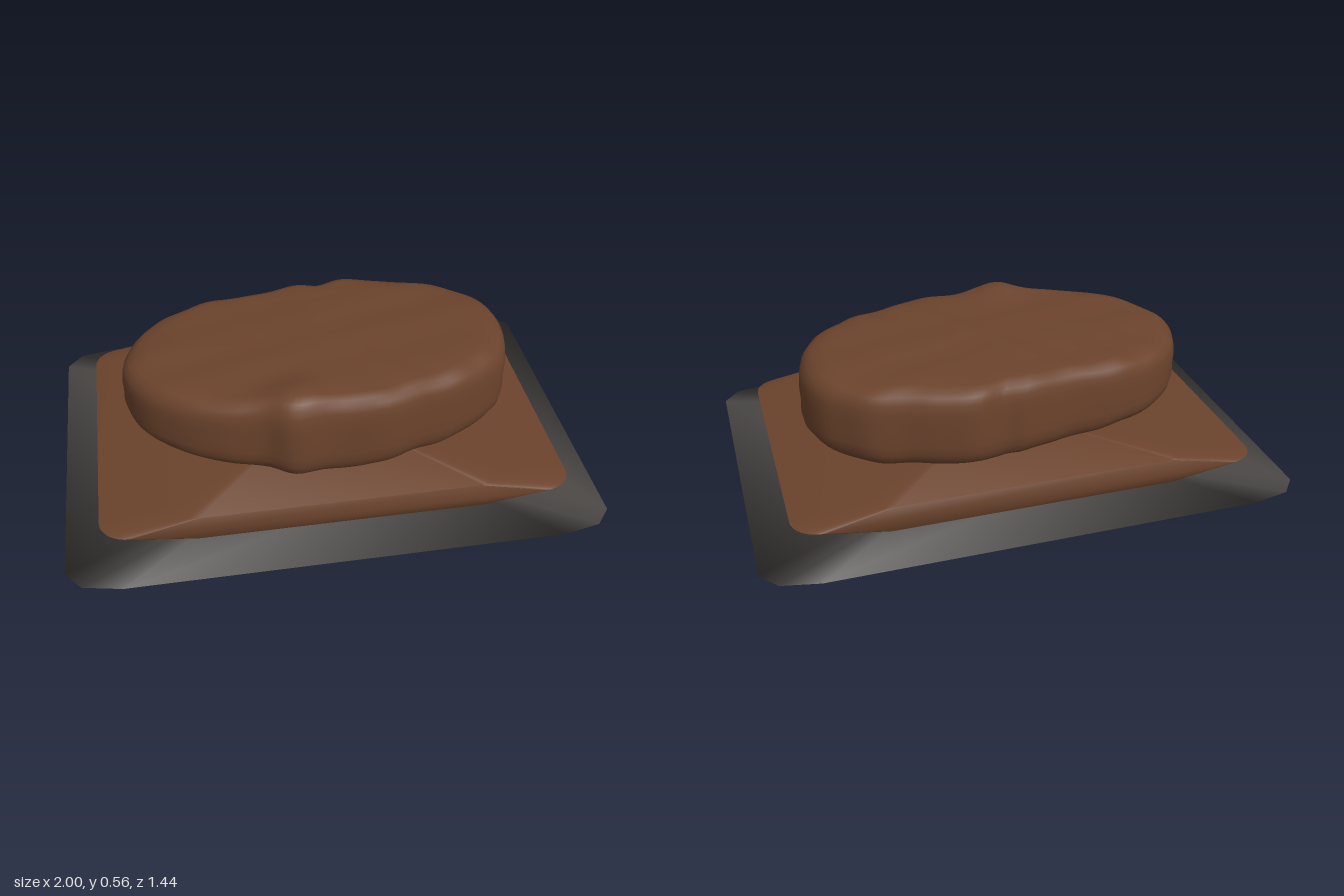
import * as THREE from 'three';
import { toCreasedNormals } from 'three/addons/utils/BufferGeometryUtils.js';

// Skin a stack of closed rings (bottom to top, clockwise from above) and cap both ends.
function loft(rings) {
  const n = rings[0].length;
  const pos = [];
  const index = [];
  rings.forEach((ring) => ring.forEach((p) => pos.push(p.x, p.y, p.z)));
  for (let i = 0; i < rings.length - 1; i++) {
    for (let j = 0; j < n; j++) {
      const k = (j + 1) % n;
      const a = i * n + j, b = i * n + k, c = a + n, d = b + n;
      index.push(a, c, b, b, c, d);
    }
  }
  const cap = (row, top) => {
    const centre = new THREE.Vector3();
    rings[row].forEach((p) => centre.addScaledVector(p, 1 / n));
    const m = pos.length / 3;
    pos.push(centre.x, centre.y, centre.z);
    for (let j = 0; j < n; j++) {
      const a = row * n + j, b = row * n + (j + 1) % n;
      if (top) index.push(m, b, a);
      else index.push(m, a, b);
    }
  };
  cap(0, false);
  cap(rings.length - 1, true);
  const geo = new THREE.BufferGeometry();
  geo.setAttribute('position', new THREE.Float32BufferAttribute(pos, 3));
  geo.setIndex(index);
  geo.computeVertexNormals();
  return geo;
}

// Rectangle ring with elliptical corners: half sizes w, d and corner radii rx, rz.
function rectRing(y, w, d, rx, rz, steps) {
  const ring = [];
  [[-1, -1], [1, -1], [1, 1], [-1, 1]].forEach(([sx, sz], q) => {
    for (let i = 0; i <= steps; i++) {
      const a = Math.PI + (q + i / steps) * Math.PI / 2;
      ring.push(new THREE.Vector3(
        sx * (w - rx) + rx * Math.cos(a), y, sz * (d - rz) + rz * Math.sin(a)));
    }
  });
  return ring;
}

// Piecewise-linear lookup in a list of [x, value] pairs.
function lookup(table, x) {
  for (let i = 1; i < table.length; i++) {
    if (x <= table[i][0] || i === table.length - 1) {
      const [x0, v0] = table[i - 1], [x1, v1] = table[i];
      return THREE.MathUtils.lerp(v0, v1, THREE.MathUtils.clamp((x - x0) / (x1 - x0), 0, 1));
    }
  }
}

// Irregular oval lump with a wavy side and uneven top.
function lumpGeometry() {
  const outline = [
    [-0.745, 0], [-0.71, -0.14], [-0.6, -0.28], [-0.42, -0.365], [-0.2, -0.385], [0, -0.42],
    [0.06, -0.41], [0.18, -0.44], [0.32, -0.41], [0.42, -0.375], [0.55, -0.34], [0.63, -0.28],
    [0.7, -0.21], [0.745, -0.08], [0.735, 0.06], [0.68, 0.2], [0.6, 0.27], [0.48, 0.34],
    [0.35, 0.375], [0.2, 0.425], [0, 0.43], [-0.16, 0.45], [-0.25, 0.405], [-0.4, 0.37],
    [-0.55, 0.3], [-0.68, 0.18],
  ].map(([x, z]) => new THREE.Vector3(x, 0, z));
  const curve = new THREE.CatmullRomCurve3(outline, true);
  const base = curve.getSpacedPoints(140).slice(0, 140);
  const bottomY = [[-0.745, 0.25], [-0.4, 0.235], [-0.2, 0.22], [0, 0.21], [0.5, 0.21], [0.745, 0.22]];
  const topY = [[-0.745, 0.505], [-0.3, 0.522], [0, 0.533], [0.5, 0.53], [0.745, 0.528]];
  // [height fraction, inset scale]
  const profile = [
    [0, 0.25], [0, 0.5], [0, 0.72], [0, 0.86], [0.03, 0.93], [0.09, 0.965], [0.18, 0.99],
    [0.3, 1], [0.45, 0.997], [0.6, 1], [0.74, 0.995], [0.84, 0.985], [0.92, 0.96],
    [0.97, 0.925], [1, 0.86], [1, 0.74], [1, 0.6], [1, 0.45], [1, 0.3], [1, 0.15],
  ];
  const rings = profile.map(([t, s]) => base.map((p) => {
    const x = p.x * s, z = p.z * s;
    const bulge = Math.exp(-(((x + 0.15) / 0.1) ** 2) - ((z - 0.37) / 0.09) ** 2);
    const droop = Math.exp(-((x / 0.25) ** 2) - ((z - 0.36) / 0.1) ** 2);
    const lo = lookup(bottomY, x) - 0.012 * droop;
    const hi = lookup(topY, x) + 0.03 * bulge - 0.012 * Math.max(0, -z / 0.4);
    const bump = 0.004 * Math.sin(13 * x + 9 * z) * Math.cos(17 * z - 6 * x)
      + 0.002 * Math.sin(31 * x - 23 * z);
    return new THREE.Vector3(x, THREE.MathUtils.lerp(lo, hi, t) + bump, z);
  }));
  return loft(rings);
}

export function createModel() {
  const brown = new THREE.MeshStandardMaterial({ color: 0x6b432c });
  brown.name = 'brown';
  const charcoal = new THREE.MeshStandardMaterial({ color: 0x4b4846 });
  charcoal.name = 'charcoal';

  const model = new THREE.Group();
  model.name = 'lumpOnTray';
  const add = (name, geometry, material) => {
    const mesh = new THREE.Mesh(geometry, material);
    mesh.name = name;
    model.add(mesh);
  };

  // Thin tray tapering to a sharp rim at mid height
  add('tray', loft([
    rectRing(0, 0.4, 0.38, 0.06, 0.04, 2),
    rectRing(0.05, 1, 0.72, 0.2, 0.1, 2),
    rectRing(0.097, 0.4, 0.38, 0.06, 0.04, 2),
  ]), charcoal);

  // Slab with wedge-shaped ends and upright long sides
  add('slab', toCreasedNormals(loft([
    rectRing(0.097, 0.6, 0.567, 0.08, 0.08, 8),
    rectRing(0.145, 0.87, 0.58, 0.11, 0.1, 8),
    rectRing(0.195, 0.6, 0.567, 0.08, 0.08, 8),
  ]), Math.PI / 3), brown);

  // Uneven lump on top
  add('lump', lumpGeometry(), brown);

  return model;
}
